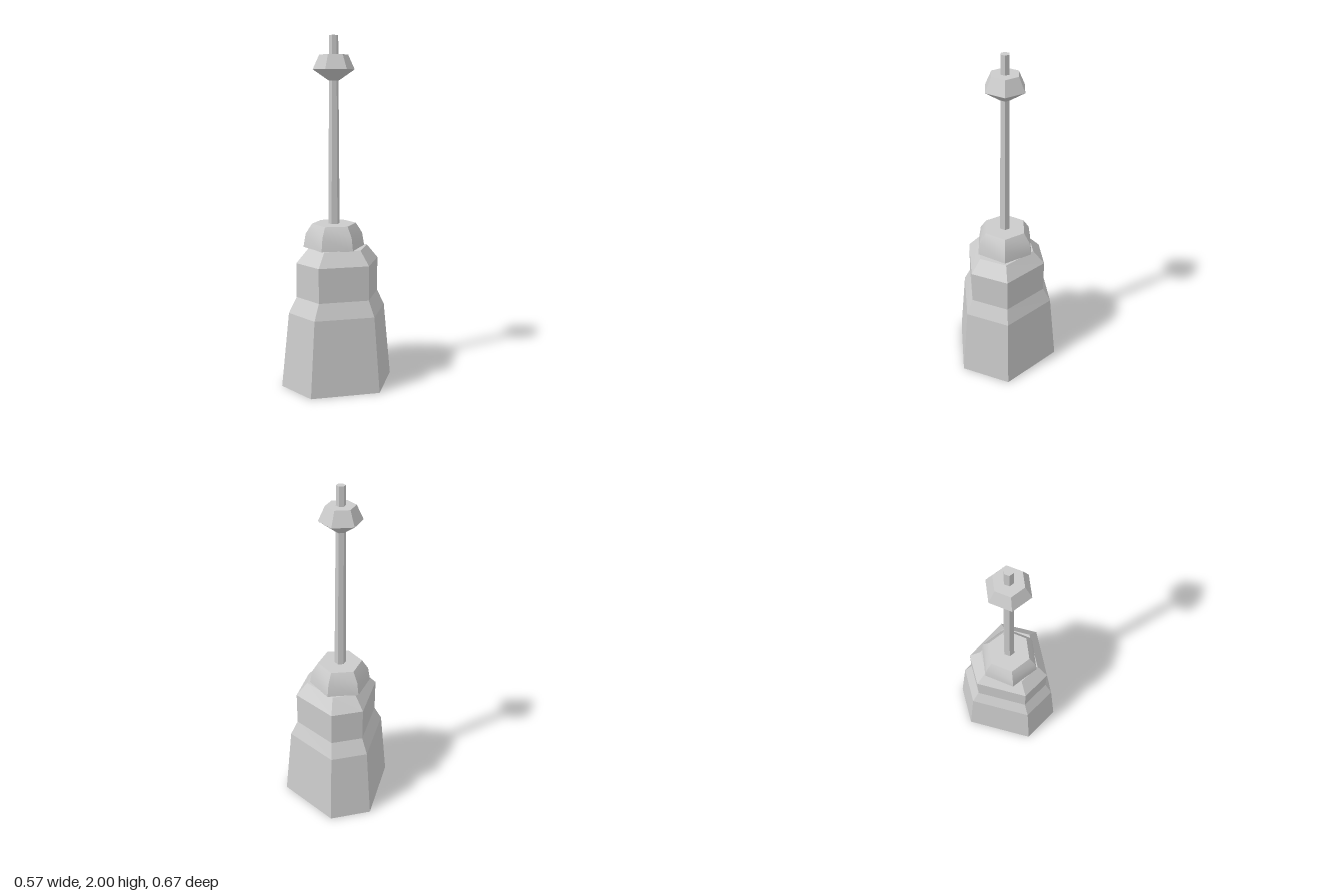
import * as THREE from 'three';
import { toCreasedNormals } from 'three/addons/utils/BufferGeometryUtils.js';

// Closed skin over stacked rings; corners run clockwise seen from above.
function loft(rings) {
  const pos = [];
  const tri = (a, b, c) => pos.push(...a, ...b, ...c);
  const n = rings[0].length;
  for (let i = 0; i < rings.length - 1; i++) {
    for (let j = 0; j < n; j++) {
      const k = (j + 1) % n;
      const a = rings[i][j], b = rings[i + 1][j], c = rings[i + 1][k], d = rings[i][k];
      tri(a, b, c);
      tri(a, c, d);
    }
  }
  const bottom = rings[0], top = rings[rings.length - 1];
  for (let j = 1; j < n - 1; j++) {
    tri(bottom[0], bottom[j], bottom[j + 1]);
    tri(top[0], top[j + 1], top[j]);
  }
  const geo = new THREE.BufferGeometry();
  geo.setAttribute('position', new THREE.Float32BufferAttribute(pos, 3));
  geo.computeVertexNormals();
  return geo;
}

// Slightly turned regular hexagon around the off-centre mast axis
const AXIS_X = -0.028;
function hexRing([r, y]) {
  return Array.from({ length: 6 }, (_, j) => {
    const t = THREE.MathUtils.degToRad(172.5 - j * 60);
    return [AXIS_X + r * Math.sin(t), y, r * Math.cos(t)];
  });
}

// Irregular hexagon, mirrored front to back: [x of end corner, its z, right x, right z, left x, left z]
function baseRing([y, mx, mz, rx, rz, lx, lz]) {
  return [[mx, y, -mz], [rx, y, -rz], [rx, y, rz], [mx, y, mz], [lx, y, lz], [lx, y, -lz]];
}

export function createModel() {
  const group = new THREE.Group();
  const flat = new THREE.MeshStandardMaterial({ color: 0xcccccc, flatShading: true });
  const smooth = new THREE.MeshStandardMaterial({ color: 0xcccccc });
  const add = (name, geo, mat) => {
    const mesh = new THREE.Mesh(geo, mat);
    mesh.name = name;
    group.add(mesh);
  };

  // Stepped tower base
  add('base', loft([
    [0, -0.07, 0.333, 0.284, 0.152, -0.285, 0.209],
    [0.44, -0.06, 0.289, 0.245, 0.132, -0.247, 0.181],
    [0.53, -0.048, 0.244, 0.207, 0.112, -0.209, 0.151],
    [0.73, -0.048, 0.244, 0.207, 0.112, -0.209, 0.151],
    [0.81, -0.035, 0.178, 0.15, 0.081, -0.15, 0.11],
  ].map(baseRing)), flat);

  // Overhanging dome, rounded vertically with sharp corner ridges
  const dome = loft([[0.178, 0.808], [0.165, 0.885], [0.128, 0.943]].map(hexRing));
  add('dome', toCreasedNormals(dome, THREE.MathUtils.degToRad(35)), smooth);

  // Tapering mast
  add('mast', loft([[0.033, 0.93], [0.025, 2]].map(hexRing)), flat);

  // Faceted bead near the mast tip
  add('bead', loft([[0.03, 1.755], [0.118, 1.815], [0.081, 1.895]].map(hexRing)), flat);

  return group;
}
